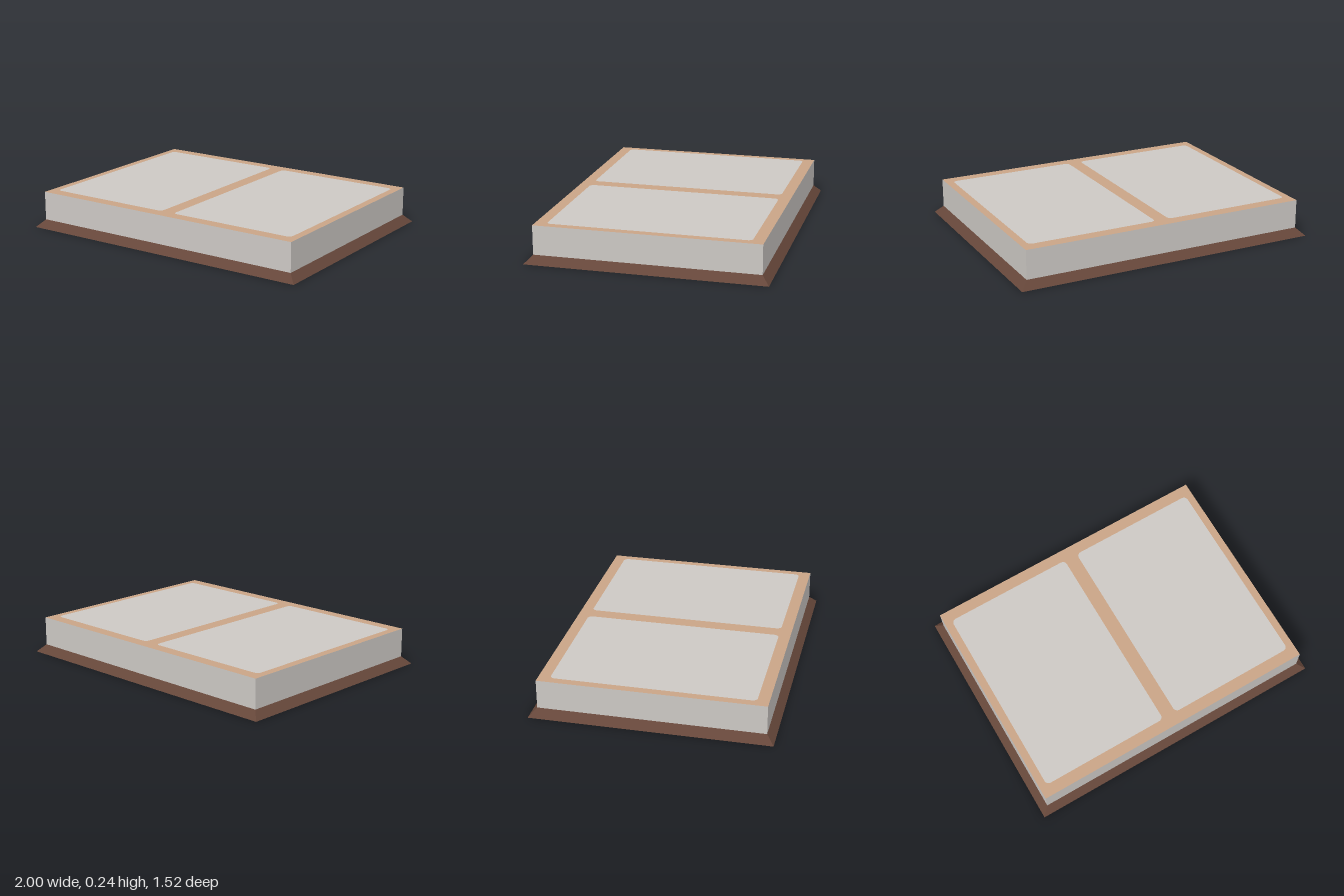
import * as THREE from 'three';

const material = (name, color) => {
  const m = new THREE.MeshStandardMaterial({ color });
  m.name = name;
  return m;
};

// Rounded rectangle centred on the origin
function roundedRect(w, h, r) {
  const s = new THREE.Shape();
  const x = w / 2, y = h / 2;
  s.absarc(x - r, y - r, r, 0, Math.PI / 2);
  s.absarc(-x + r, y - r, r, Math.PI / 2, Math.PI);
  s.absarc(-x + r, -y + r, r, Math.PI, Math.PI * 1.5);
  s.absarc(x - r, -y + r, r, Math.PI * 1.5, Math.PI * 2);
  s.closePath();
  return s;
}

export function createModel() {
  const group = new THREE.Group();
  const grey = material('warm grey', 0xccc8c4);
  const tan = material('tan', 0xc9a486);
  const brown = material('dark brown', 0x66473a);

  const add = (name, geometry, mat, x, y, z) => {
    const mesh = new THREE.Mesh(geometry, mat);
    mesh.name = name;
    mesh.position.set(x, y, z);
    group.add(mesh);
    return mesh;
  };

  // Sloping skirt: a slab whose top edge is drawn in to meet the body
  const skirt = new THREE.BoxGeometry(2, 0.05, 1.524);
  const p = skirt.attributes.position;
  for (let i = 0; i < p.count; i++) {
    if (p.getY(i) > 0) {
      p.setX(i, Math.sign(p.getX(i)) * 0.95);
      p.setZ(i, Math.sign(p.getZ(i)) * 0.714);
    }
  }
  skirt.computeVertexNormals();
  add('skirt', skirt, brown, 0, 0.025, 0);

  // Body with grey walls and a tan top
  add('body', new THREE.BoxGeometry(1.9, 0.189, 1.428),
    [grey, grey, tan, grey, grey, grey], 0, 0.1445, 0);

  // Two rounded panels laid on the top
  const panel = new THREE.ShapeGeometry(roundedRect(0.855, 1.28, 0.03), 6);
  panel.rotateX(-Math.PI / 2);
  for (const side of [-1, 1]) {
    add(side > 0 ? 'leftPanel' : 'rightPanel', panel, grey, side * 0.4735, 0.2405, 0);
  }
  return group;
}
